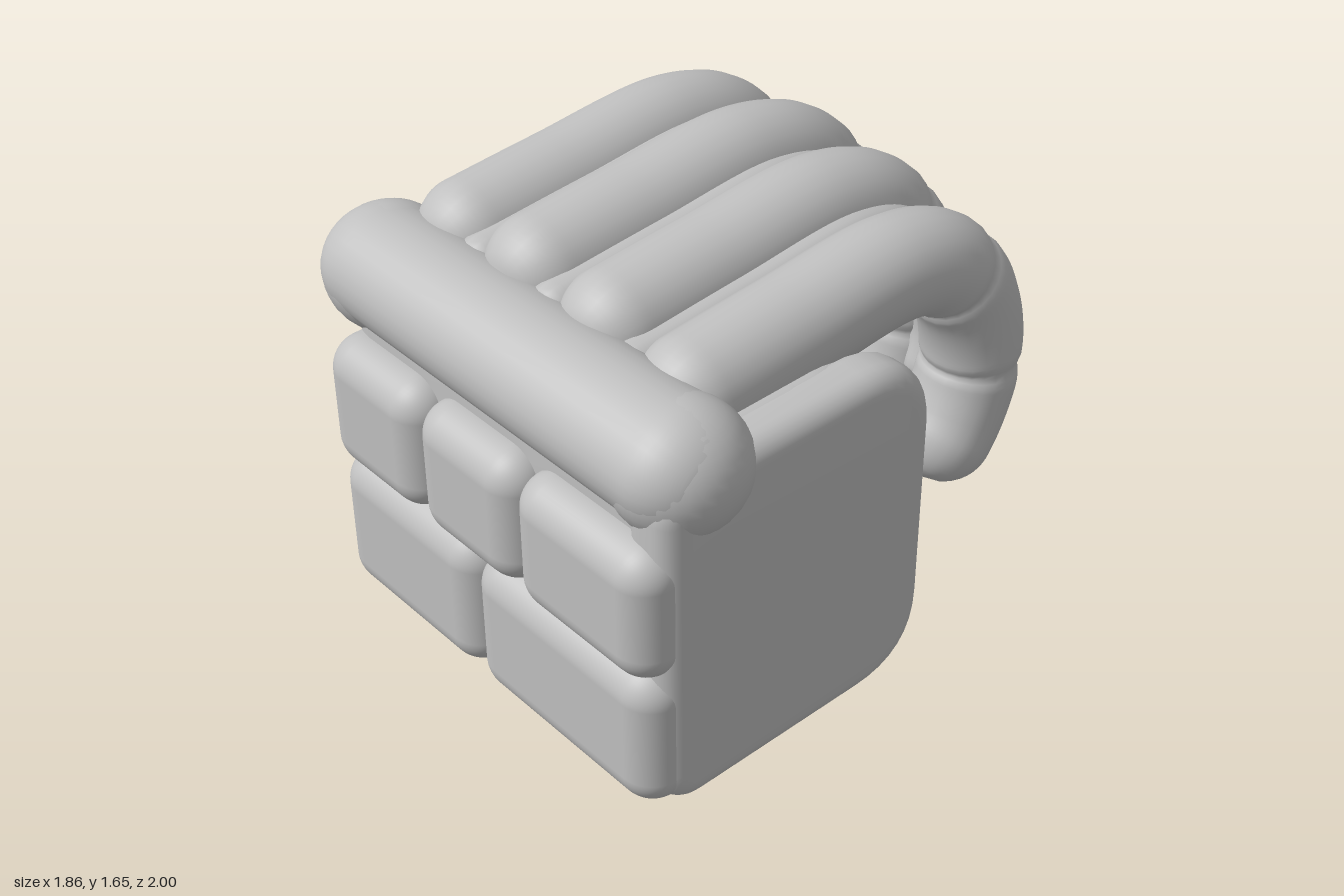
import * as THREE from 'three';
import { mergeVertices, toCreasedNormals } from 'three/addons/utils/BufferGeometryUtils.js';
import { RoundedBoxGeometry } from 'three/addons/geometries/RoundedBoxGeometry.js';

export function createModel() {
  const model = new THREE.Group();
  model.name = 'clenchedHand';
  const grey = new THREE.MeshStandardMaterial({ color: 0xc0c0c0 });
  grey.name = 'plain grey';

  const add = (name, geometry, x = 0, y = 0, z = 0) => {
    const mesh = new THREE.Mesh(geometry, grey);
    mesh.name = name;
    mesh.position.set(x, y, z);
    model.add(mesh);
    return mesh;
  };

  // Round-ended tube along a path, from radius r0 to r1, pinched at the creases (0..1 along it)
  function limb(points, r0, r1, creases = [], n = 110, m = 24) {
    const curve = new THREE.CatmullRomCurve3(points);
    const length = curve.getLength();
    const tube = new THREE.TubeGeometry(curve, n, 1, m, false);
    const pos = tube.attributes.position;
    const v = new THREE.Vector3();
    for (let i = 0; i <= n; i++) {
      const t = i / n;
      const centre = curve.getPointAt(t);
      const radius = r0 + (r1 - r0) * t;
      const d = Math.min(1, Math.min(t, 1 - t) * length / radius);
      let r = radius * Math.sqrt(Math.max(0, 1 - (1 - d) ** 2));
      for (const c of creases) r *= 1 - 0.08 * Math.exp(-(((t - c) / 0.012) ** 2));
      for (let j = 0; j <= m; j++) {
        const k = i * (m + 1) + j;
        v.fromBufferAttribute(pos, k).sub(centre).multiplyScalar(Math.max(r, 0.0005)).add(centre);
        pos.setXYZ(k, v.x, v.y, v.z);
      }
    }
    tube.deleteAttribute('uv');
    tube.deleteAttribute('normal');
    const smooth = mergeVertices(tube, 1e-5);
    smooth.computeVertexNormals();
    return smooth;
  }

  // Straight limb between two ball centres
  function capsule(a, b, r0, r1) {
    const p = new THREE.Vector3(...a), q = new THREE.Vector3(...b);
    const along = q.clone().sub(p).normalize();
    return limb([p.addScaledVector(along, -r0), q.addScaledVector(along, r1)], r0, r1, [], 80, 32);
  }

  // Slab across x with a rounded side outline; radii: back low, front low, front top, back top
  function slab(x0, x1, z0, z1, y0, y1, radii, bevel) {
    const [a, b, c, d] = radii;
    const l = -z1 + bevel, r = -z0 - bevel, lo = y0 + bevel, hi = y1 - bevel;
    const s = new THREE.Shape();
    s.moveTo(l + b, lo);
    s.lineTo(r - a, lo);
    s.quadraticCurveTo(r, lo, r, lo + a);
    s.lineTo(r, hi - d);
    s.quadraticCurveTo(r, hi, r - d, hi);
    s.lineTo(l + c, hi);
    s.quadraticCurveTo(l, hi, l, hi - c);
    s.lineTo(l, lo + b);
    s.quadraticCurveTo(l, lo, l + b, lo);
    const g = new THREE.ExtrudeGeometry(s, {
      depth: x1 - x0 - 2 * bevel, bevelThickness: bevel, bevelSize: bevel, bevelSegments: 6, curveSegments: 8,
    });
    g.rotateY(Math.PI / 2);
    g.translate(x0 + bevel, 0, 0);
    return toCreasedNormals(g, 0.7);
  }

  // Palm block with its narrower back, its outer side and the web beside the thumb
  add('palm', slab(-0.62, 0.86, 0.1, 0.89, 0.19, 1.36, [0.12, 0.06, 0.06, 0.12], 0.13));
  add('palmBack', slab(-0.5, 0.86, -0.03, 0.8, 0.2, 1.36, [0.15, 0.06, 0.06, 0.15], 0.14));
  add('palmOuterSide', slab(0.69, 0.88, -0.11, 0.915, 0.195, 1.36, [0.2, 0.06, 0.06, 0.2], 0.07));
  add('thumbWeb', slab(-0.735, -0.45, 0.1, 0.85, 0.18, 0.91, [0.1, 0.06, 0.06, 0.1], 0.1));

  // Shallow swelling under the palm, narrowing downwards
  const belly = new THREE.BoxGeometry(1.1, 0.1, 0.62);
  const corner = belly.attributes.position;
  for (let i = 0; i < corner.count; i++) {
    if (corner.getY(i) < 0) corner.setXYZ(i, corner.getX(i) * 0.6, -0.05, corner.getZ(i) * 0.45);
  }
  belly.computeVertexNormals();
  add('palmUnderside', belly, 0.075, 0.19, 0.33);

  // Front cushions: [x0, x1, y0, y1, front z]
  const pads = [
    [-0.615, -0.14, 0.685, 1.145, 1.0], [-0.165, 0.31, 0.685, 1.145, 1.0], [0.285, 0.87, 0.685, 1.145, 1.0],
    [-0.615, 0.08, 0.205, 0.71, 0.985], [0.055, 0.87, 0.205, 0.71, 0.985],
  ];
  for (const [x0, x1, y0, y1, z] of pads) {
    add('frontPad', new RoundedBoxGeometry(x1 - x0, y1 - y0, 0.36, 6, 0.11),
      (x0 + x1) / 2, (y0 + y1) / 2, z - 0.18);
  }

  // Knuckle roll with a fuller ball at each end
  add('knuckleRoll', capsule([-0.58, 1.31, 0], [0.73, 1.31, 0], 0.185, 0.185), 0, 0, 0.745).scale.z = 1.1;
  for (const x of [-0.575, 0.725]) {
    add('knuckleEnd', new THREE.SphereGeometry(0.202, 32, 20), x, 1.293, 0.735).scale.z = 1.04;
  }

  // Curled fingers: [z, y, growth in z, growth in y] along each centreline
  const path = [
    [0.7, 1.345, 0, 1], [0.2, 1.385, 0, 1], [-0.24, 1.41, 0, 1], [-0.43, 1.345, -0.5, 0.9],
    [-0.56, 1.19, -0.9, 0.6], [-0.615, 0.95, -1, 0], [-0.56, 0.75, -0.9, -0.5], [-0.415, 0.55, -0.8, -1],
  ];
  const centreline = (x, grow) =>
    path.map(([z, y, gz, gy]) => new THREE.Vector3(x, y + gy * grow, z + gz * grow));
  const fingers = [[-0.43, 0.045], [-0.1, 0.07], [0.235, 0.05], [0.56, 0]];
  fingers.forEach(([x, grow], i) => {
    const radius = 0.165 + grow * 0.1;
    add('finger', limb(centreline(x, grow), radius, radius - 0.005, [0.6, 0.79]));
    if (i === 0) return;
    // Fill of the groove towards the previous finger
    const [lastX, lastGrow] = fingers[i - 1];
    const groove = centreline((x + lastX) / 2, (grow + lastGrow) / 2).slice(0, 7);
    add('fingerGroove', limb(groove, 0.085, 0.085, [], 80, 14));
  });

  // Thumb in two segments, fullest at the joint
  add('thumbBase', capsule([-0.635, 0.215, 0.33], [-0.715, 0.87, -0.14], 0.212, 0.215));
  add('thumbTip', capsule([-0.695, 0.875, -0.16], [-0.48, 1.085, -0.81], 0.235, 0.19));

  return model;
}
